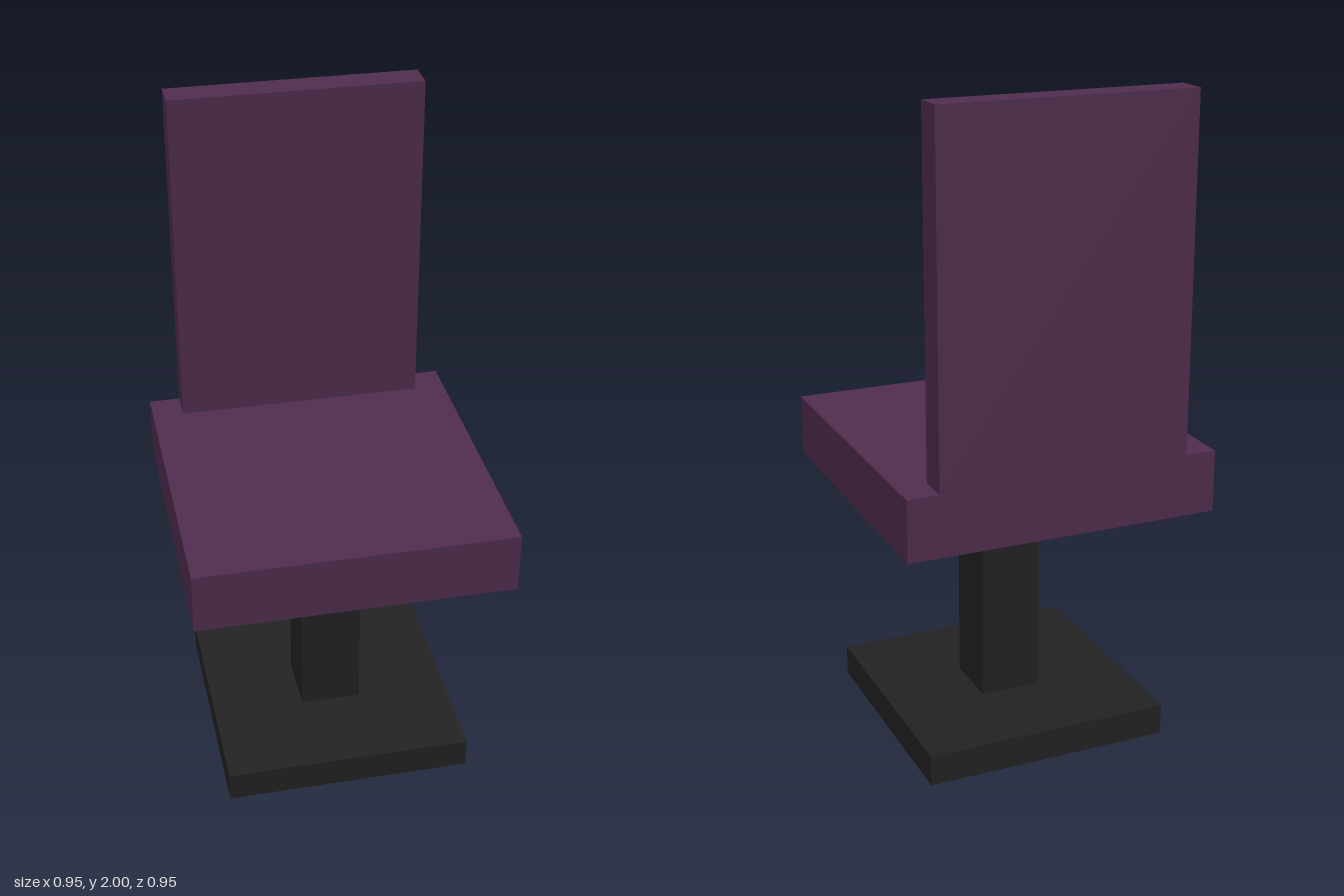
import * as THREE from 'three';

export function createModel() {
  const group = new THREE.Group();
  const upholstery = new THREE.MeshStandardMaterial({ color: 0x502d4e });
  upholstery.name = 'plum upholstery';
  const metal = new THREE.MeshStandardMaterial({ color: 0x222222 });
  metal.name = 'black metal';

  // Box spanning y0..y1, centred on x = 0
  const block = (name, material, width, depth, y0, y1, z = 0) => {
    const mesh = new THREE.Mesh(new THREE.BoxGeometry(width, y1 - y0, depth), material);
    mesh.name = name;
    mesh.position.set(0, (y0 + y1) / 2, z);
    group.add(mesh);
  };

  // Pedestal
  block('base', metal, 0.762, 0.762, 0, 0.095);
  block('column', metal, 0.19, 0.19, 0.095, 0.765);

  // Seat and backrest, flush at the rear
  block('seat', upholstery, 0.952, 0.952, 0.765, 0.952);
  block('backrest', upholstery, 0.762, 0.095, 0.952, 2, -0.4285);

  return group;
}
